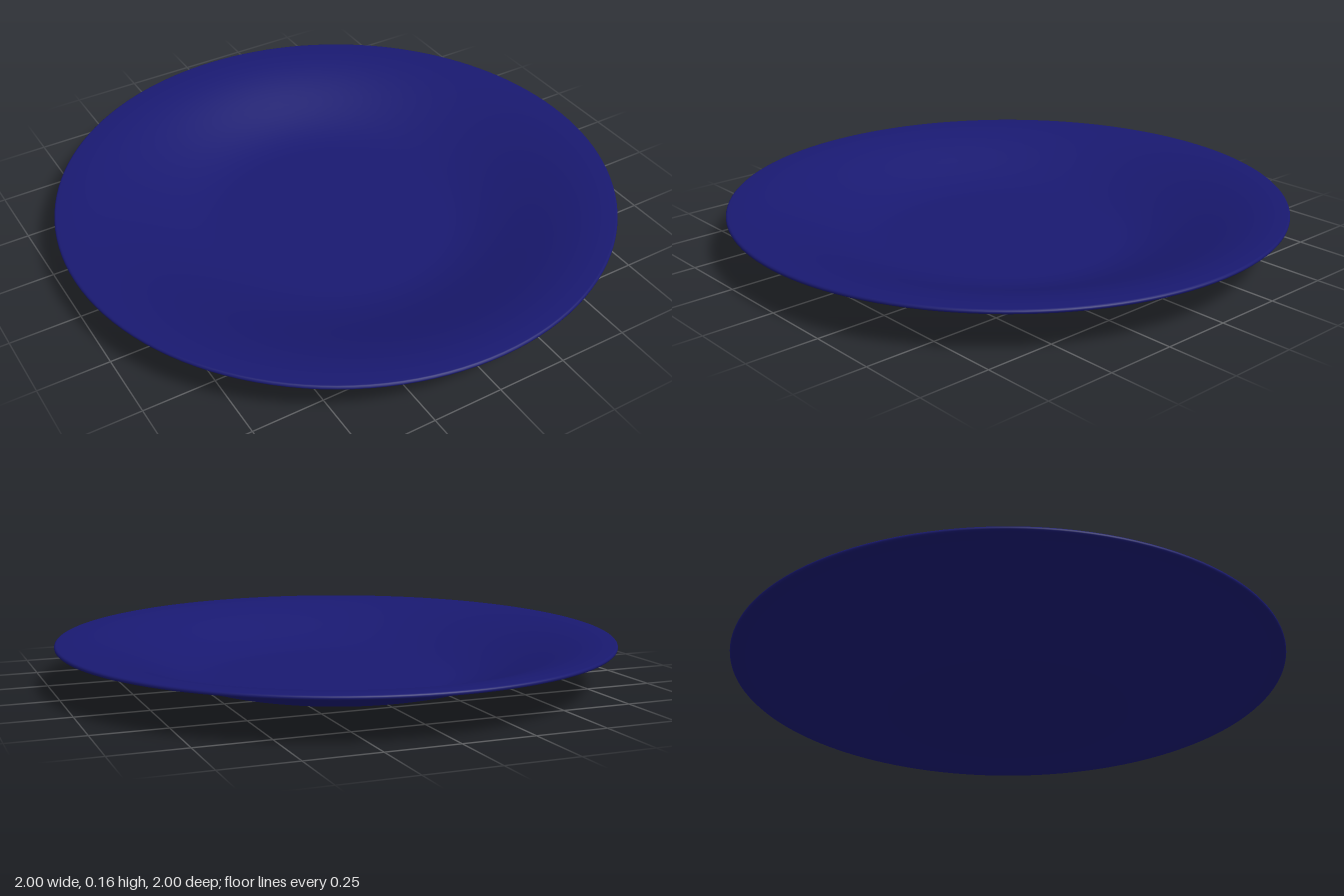
import * as THREE from 'three';

const FLAT = 0.41, EDGE = 0.97, RISE = 0.145, THICK = 0.015;

// Underside height: flat centre easing up into a level rim
const height = (r) => RISE * THREE.MathUtils.smoothstep(r, FLAT, EDGE);

export function createModel() {
  const group = new THREE.Group();
  group.name = 'plate';

  // Radii sampled from the centre out to the rim
  const radii = [0, 0.2];
  const steps = 28;
  for (let i = 0; i <= steps; i++) radii.push(FLAT + ((0.992 - FLAT) * i) / steps);

  // Closed profile: underside outwards, rounded lip, upper side inwards
  const profile = radii.map((r) => new THREE.Vector2(r, height(r)));
  const mid = RISE + THICK / 2;
  for (let i = 1; i < 6; i++) {
    const a = -Math.PI / 2 + (Math.PI * i) / 6;
    profile.push(new THREE.Vector2(0.992 + 0.008 * Math.cos(a), mid + (THICK / 2) * Math.sin(a)));
  }
  for (const r of [...radii].reverse()) profile.push(new THREE.Vector2(r, height(r) + THICK));

  const dish = new THREE.Mesh(
    new THREE.LatheGeometry(profile, 128),
    new THREE.MeshStandardMaterial({ color: 0x191970 })
  );
  dish.name = 'dish';
  group.add(dish);
  return group;
}
